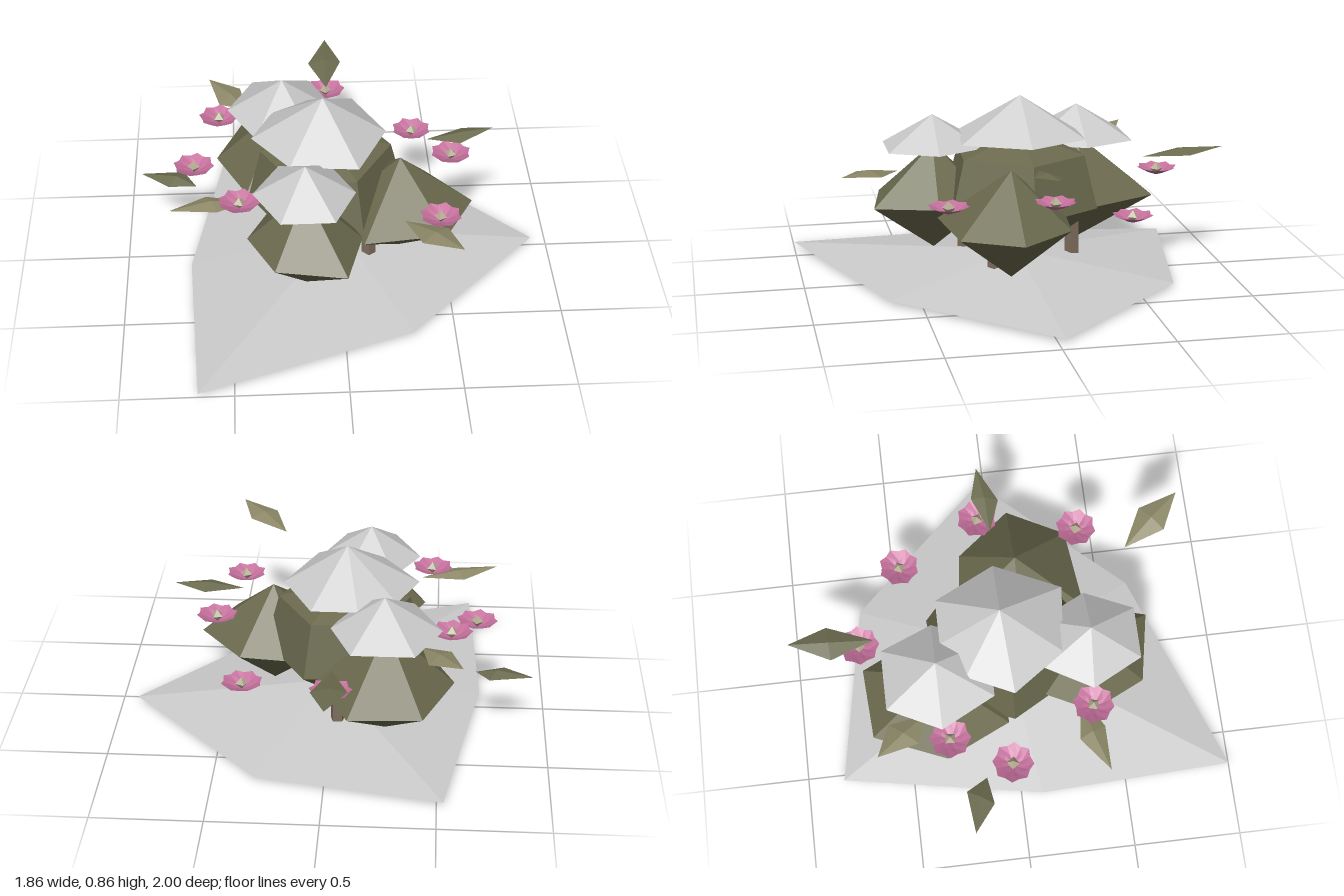
import * as THREE from 'three';

const material = (color, side = THREE.FrontSide) =>
  new THREE.MeshStandardMaterial({ color, side, flatShading: true });
const snowMat = material(0xcccccc, THREE.DoubleSide);
const bushMat = material(0x6b6a4e);
const trunkMat = material(0x7d6c5c);
const petalMat = material(0xc4709c, THREE.DoubleSide);
const pistilMat = material(0xb5ac92);
const darkLeaf = material(0x6b6b4f, THREE.DoubleSide);
const paleLeaf = material(0x8b8766, THREE.DoubleSide);

// Faceted skin through rings of [x, y, z] points, listed from top to bottom
function loft(rings) {
  const pos = [];
  for (let r = 0; r < rings.length - 1; r++) {
    const u = rings[r], l = rings[r + 1], n = u.length;
    for (let i = 0; i < n; i++) {
      const j = (i + 1) % n;
      if (u[i] !== u[j]) pos.push(...u[i], ...u[j], ...l[j]);
      if (l[i] !== l[j]) pos.push(...u[i], ...l[j], ...l[i]);
    }
  }
  const g = new THREE.BufferGeometry();
  g.setAttribute('position', new THREE.Float32BufferAttribute(pos, 3));
  g.computeVertexNormals();
  return g;
}
const tip = (p, n) => new Array(n).fill(p);
const level = (outline, y) => outline.map(([x, z]) => [x, y, z]);
const shrink = (outline, [cx, cz], s) => outline.map(([x, z]) => [cx + (x - cx) * s, cz + (z - cz) * s]);

export function createModel() {
  const model = new THREE.Group();
  const add = (name, geometry, mat, parent = model) => {
    const mesh = new THREE.Mesh(geometry, mat);
    mesh.name = name;
    parent.add(mesh);
    return mesh;
  };
  const cone = (name, apex, outline, y) =>
    add(name, loft([tip(apex, outline.length), level(outline, y)]), snowMat);

  // Shallow irregular mound
  cone('ground', [0, 0.13, 0],
    [[0.93, -0.03], [0.31, 0.64], [-0.66, 1.0], [-0.7, 0.1], [-0.53, -0.83], [0.31, -0.68]], 0.02);

  // Trunks
  for (const [x, z] of [[0.135, 0.13], [-0.205, 0.215], [-0.04, -0.275], [-0.3, -0.075]]) {
    add('trunk', new THREE.CylinderGeometry(0.032, 0.036, 0.4, 5), trunkMat).position.set(x, 0.2, z);
  }

  // Bushes: crown, optional shoulder ring, rim, lower tip
  const bushes = [
    { name: 'centreBush', c: [-0.07, -0.03], top: 0.68, y: 0.34, low: 0.05, shoulder: 0.59,
      rim: [[0.31, -0.03], [0.1, 0.32], [-0.25, 0.3], [-0.42, 0], [-0.28, -0.33], [0.11, -0.36]] },
    { name: 'backBush', c: [-0.26, -0.34], top: 0.61, y: 0.33, low: 0.09,
      rim: [[0.06, -0.35], [-0.1, -0.03], [-0.43, -0.03], [-0.57, -0.33], [-0.43, -0.66], [-0.1, -0.68]] },
    { name: 'frontBush', c: [-0.165, 0.37], top: 0.62, y: 0.365, low: 0.115,
      rim: [[0.09, 0.38], [0.01, 0.67], [-0.31, 0.61], [-0.43, 0.36], [-0.31, 0.12], [-0.02, 0.12]] },
    { name: 'leftBush', c: [0.28, 0.08], top: 0.59, y: 0.335, low: 0.09,
      rim: [[0.62, 0.08], [0.48, 0.345], [0.1, 0.39], [-0.02, 0.08], [0.13, -0.2], [0.42, -0.17]] },
  ];
  for (const { name, c, top, y, low, shoulder, rim } of bushes) {
    const n = rim.length;
    const rings = [tip([c[0], top, c[1]], n), level(rim, y), tip([c[0], low, c[1]], n)];
    if (shoulder) rings.splice(1, 0, level(shrink(rim, c, 0.83), shoulder));
    add(name, loft(rings), bushMat);
  }

  // Snow caps
  cone('centreSnowCap', [-0.07, 0.855, -0.03],
    [[0.22, -0.03], [0.08, 0.27], [-0.23, 0.24], [-0.4, 0], [-0.3, -0.21], [-0.13, -0.31], [0.08, -0.31]], 0.665);
  cone('backSnowCap', [-0.25, 0.76, -0.34],
    [[-0.01, -0.34], [-0.12, -0.09], [-0.38, -0.09], [-0.51, -0.34], [-0.39, -0.58], [-0.11, -0.58]], 0.6);
  cone('frontSnowCap', [-0.165, 0.76, 0.37],
    [[0.06, 0.37], [-0.04, 0.59], [-0.28, 0.59], [-0.4, 0.36], [-0.28, 0.15], [-0.05, 0.15]], 0.612);

  // Flowers: ragged cup with a small pointed centre
  const circle = (count, radius, y) => Array.from({ length: count }, (_, i) => {
    const a = (i / count) * Math.PI * 2, r = radius * (i % 2 ? 0.86 : 1);
    return [Math.cos(a) * r, y + (i % 2 ? -0.006 : 0), Math.sin(a) * r];
  });
  const cup = loft([circle(16, 0.095, 0.012), circle(16, 0.05, -0.008), tip([0, -0.03, 0], 16)]);
  const pistil = new THREE.OctahedronGeometry(0.03);
  const flowers = [
    [-0.03, 0.48, -0.68], [-0.55, 0.58, -0.31], [-0.67, 0.49, -0.04], [-0.46, 0.56, 0.35],
    [0.44, 0.48, 0.39], [0.38, 0.375, -0.46], [0.53, 0.5, -0.07],
  ];
  flowers.forEach((p, i) => {
    const flower = new THREE.Group();
    flower.name = 'flower';
    flower.position.set(...p);
    flower.rotation.y = i * 0.7;
    add('petals', cup, petalMat, flower);
    add('pistil', pistil, pistilMat, flower);
    model.add(flower);
  });

  // Floating leaves: base, side, tip, side, folded along a raised midrib
  const leaves = [
    [[-0.03, 0.54, -0.61], [-0.11, 0.555, -0.81], [-0.02, 0.575, -1.0], [0.05, 0.555, -0.82], darkLeaf],
    [[-0.42, 0.555, -0.41], [-0.55, 0.56, -0.45], [-0.6, 0.585, -0.64], [-0.45, 0.565, -0.58], paleLeaf],
    [[-0.67, 0.29, -0.16], [-0.8, 0.305, -0.14], [-0.93, 0.315, -0.24], [-0.73, 0.305, -0.26], darkLeaf],
    [[-0.41, 0.53, 0.3], [-0.56, 0.54, 0.39], [-0.77, 0.555, 0.39], [-0.61, 0.54, 0.27], paleLeaf],
    [[0.26, 0.612, 0.59], [0.44, 0.635, 0.68], [0.49, 0.655, 0.86], [0.32, 0.635, 0.78], paleLeaf],
    [[0.41, 0.62, -0.02], [0.56, 0.63, 0.035], [0.72, 0.655, -0.05], [0.58, 0.63, -0.09], darkLeaf],
  ];
  for (const [base, sideA, end, sideB, mat] of leaves) {
    const rib = [0, 1, 2].map((k) => (sideA[k] + sideB[k]) / 2 + (k === 1 ? 0.02 : 0));
    const outline = [base, sideA, end, sideB];
    add('leaf', loft([tip(rib, 4), outline]), mat);
  }

  return model;
}
